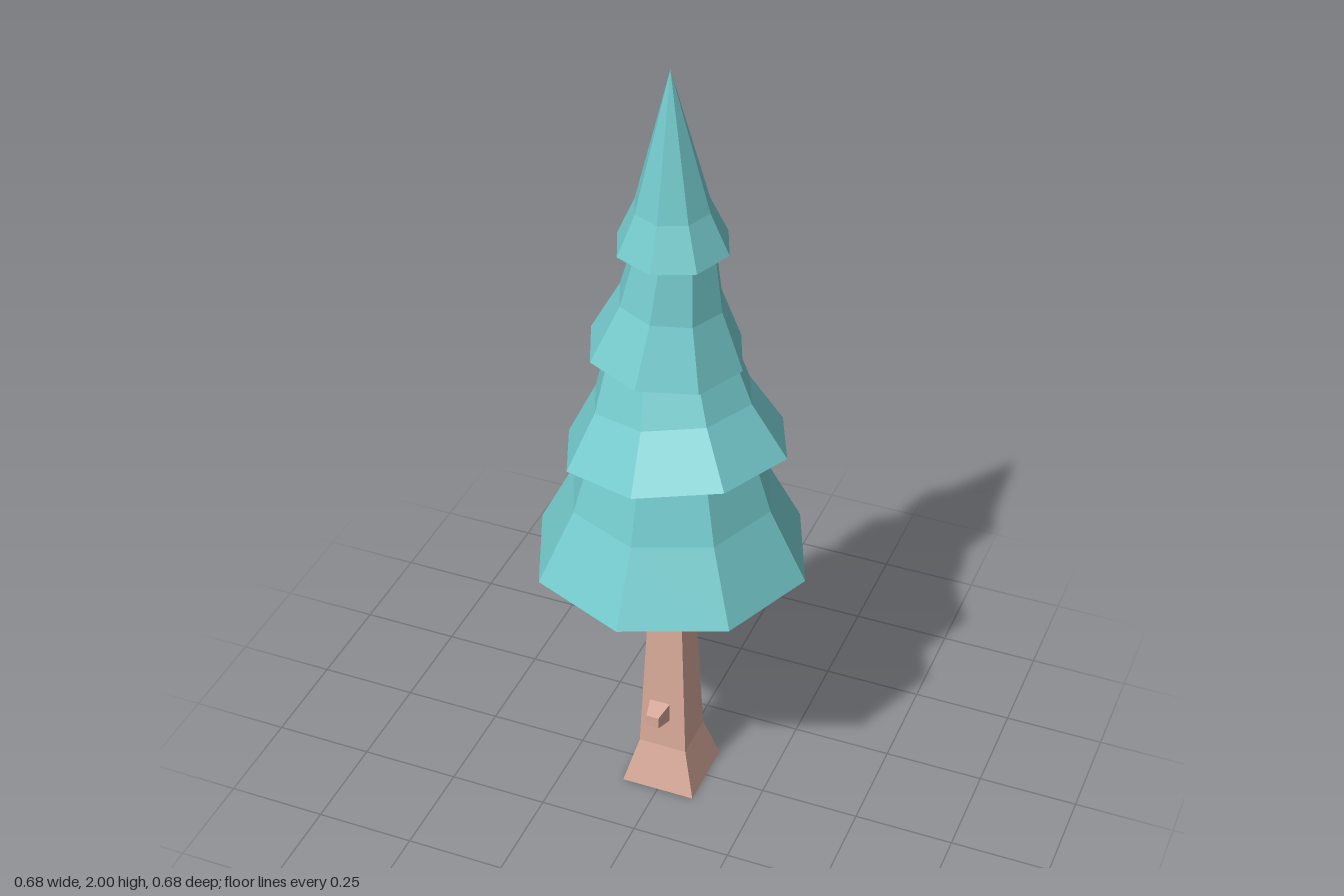
import * as THREE from 'three';

const foliage = new THREE.MeshStandardMaterial({ name: 'teal foliage', color: 0x74cacc, flatShading: true });
const bark = new THREE.MeshStandardMaterial({ name: 'light bark', color: 0xd8aa9a, flatShading: true });

// Closed faceted solid from [radius, height] pairs, listed from bottom to top
function faceted(name, profile, sides, material, phi = 0) {
  const rings = [[0, profile[0][1]], ...profile, [0, profile.at(-1)[1]]];
  const points = rings.map(([r, y]) => new THREE.Vector2(r, y));
  const geometry = new THREE.LatheGeometry(points, sides, phi).toNonIndexed();
  geometry.computeVertexNormals();
  const mesh = new THREE.Mesh(geometry, material);
  mesh.name = name;
  return mesh;
}

// Square-section solid, given half widths instead of radii
function squareTaper(name, profile) {
  const corners = profile.map(([half, y]) => [half * Math.SQRT2, y]);
  return faceted(name, corners, 4, bark, Math.PI / 4);
}

export function createModel() {
  const tree = new THREE.Group();
  tree.name = 'pineTree';

  // Trunk with flared foot
  tree.add(squareTaper('trunk', [[0.095, 0], [0.062, 0.12], [0.036, 0.72]]));

  // Short cut-off branches: position, tilt, length
  const stubs = [
    ['rightStub', [-0.03, 0.585, 0], [0, 0, Math.PI / 2], 0.076],
    ['frontStub', [-0.009, 0.232, 0.045], [Math.PI / 2, 0, 0], 0.06],
    ['backStub', [0, 0.408, -0.035], [-Math.PI / 2, 0, 0], 0.09],
  ];
  for (const [name, position, rotation, length] of stubs) {
    const stub = squareTaper(name, [[0.029, 0], [0.016, length]]);
    stub.position.set(...position);
    stub.rotation.set(...rotation);
    tree.add(stub);
  }

  // Overlapping eight-sided foliage tiers, each leaning its own way
  const tiers = [
    ['lowestTier', [0, 0.71, 0], [0, 0, 0], [[0.342, 0], [0.25, 0.18], [0.21, 0.31], [0.15, 0.45]]],
    ['lowerTier', [0.017, 1.03, 0.013], [-0.11, 0, 0.11], [[0.275, 0], [0.195, 0.13], [0.155, 0.25], [0.11, 0.36]]],
    ['upperTier', [-0.013, 1.283, 0], [0, 0, -0.08], [[0.188, 0], [0.125, 0.14], [0.096, 0.28], [0.075, 0.36]]],
    ['topTier', [0, 1.56, -0.008], [0.034, 0, 0], [[0.135, 0], [0.09, 0.1], [0, 0.44]]],
  ];
  for (const [name, position, rotation, profile] of tiers) {
    const tier = faceted(name, profile, 8, foliage);
    tier.position.set(...position);
    tier.rotation.set(...rotation);
    tree.add(tier);
  }
  return tree;
}
